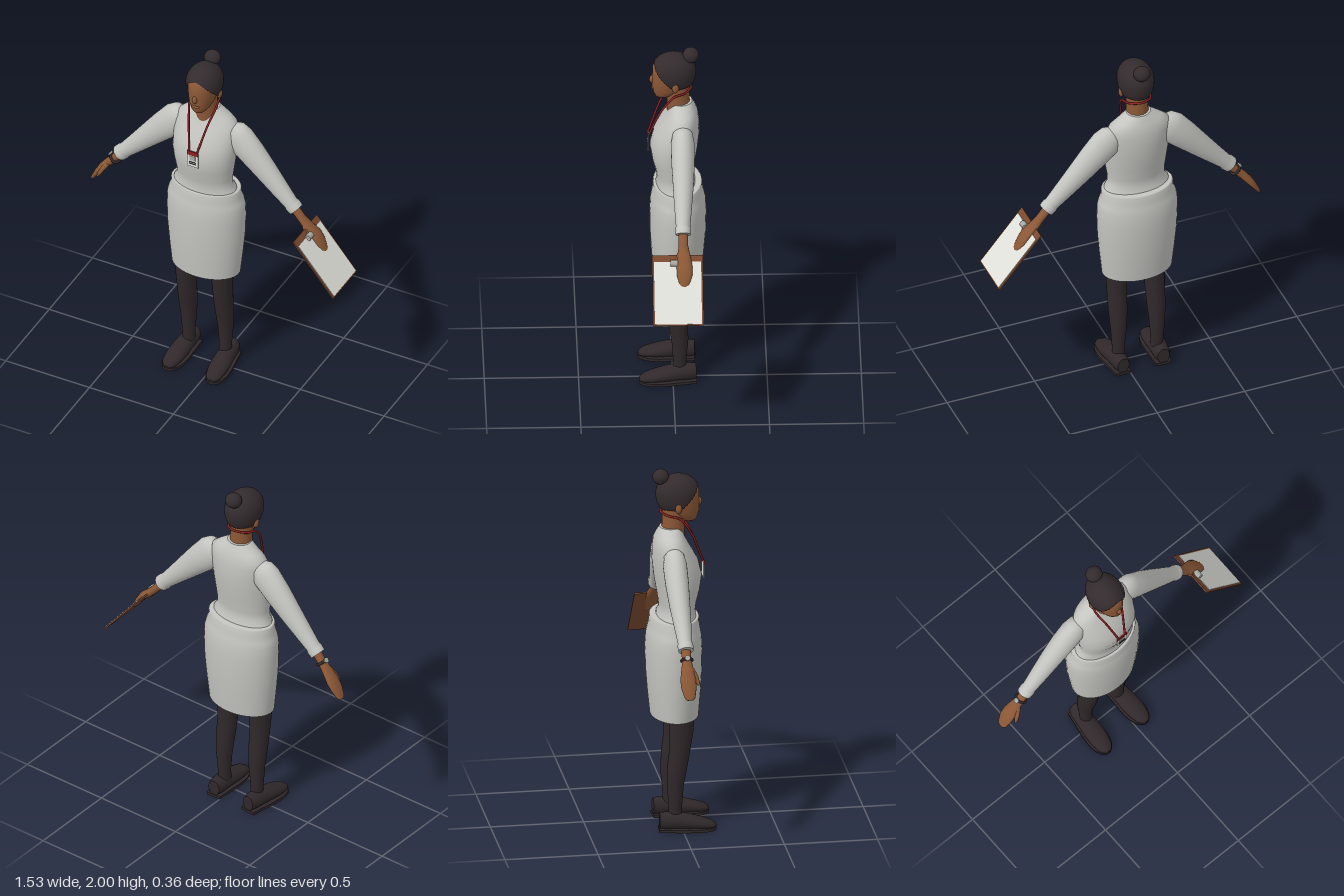
import * as THREE from 'three';

const mat = (name, color, double) => {
  const m = new THREE.MeshStandardMaterial({ color });
  m.name = name;
  if (double) m.side = THREE.DoubleSide;
  return m;
};

// Skin over elliptical rings [x, y, z, radius across, radius in z]; rings follow the path in x/y
function loft(rings, caps = true, n = 28) {
  const pos = [], idx = [], last = rings.length - 1;
  const addRing = (i) => {
    const a = rings[Math.max(i - 1, 0)], b = rings[Math.min(i + 1, last)];
    const w = new THREE.Vector2(b[0] - a[0], b[1] - a[1]).normalize();
    const [x, y, z, r, rz] = rings[i], start = pos.length / 3;
    for (let j = 0; j < n; j++) {
      const t = (j / n) * Math.PI * 2, c = Math.cos(t) * r;
      pos.push(x + w.y * c, y - w.x * c, z + Math.sin(t) * rz);
    }
    return start;
  };
  rings.forEach((_, i) => addRing(i));
  for (let i = 0; i < last; i++) {
    for (let j = 0; j < n; j++) {
      const a = i * n + j, b = i * n + (j + 1) % n, c = a + n, d = b + n;
      idx.push(a, c, b, b, c, d);
    }
  }
  if (caps) {
    for (const i of [0, last]) {
      const s = addRing(i), c = pos.length / 3;
      pos.push(...rings[i].slice(0, 3));
      for (let j = 0; j < n; j++) {
        const a = s + j, b = s + (j + 1) % n;
        i ? idx.push(c, b, a) : idx.push(c, a, b);
      }
    }
  }
  const g = new THREE.BufferGeometry();
  g.setAttribute('position', new THREE.Float32BufferAttribute(pos, 3));
  g.setIndex(idx);
  g.computeVertexNormals();
  return g;
}

// Upright ring from height, half width, front z and back z
const ring = ([y, w, f, b]) => [0, y, (f + b) / 2, w, (f - b) / 2];

// Hair shell: rounded dome whose lower edge follows the hairline
function hairGeometry() {
  const g = new THREE.SphereGeometry(1, 48, 24), p = g.attributes.position, uv = g.attributes.uv;
  for (let i = 0; i < p.count; i++) {
    const phi = uv.getX(i) * Math.PI * 2, c = Math.cos(phi);
    const end = 1.05 + 1.4 * Math.pow(1 - Math.max(c, 0), 0.9);
    const a = (1 - uv.getY(i)) * end;
    const s = a < Math.PI / 2 ? Math.sin(a) : Math.sqrt(Math.sin(a));
    p.setXYZ(i, Math.sin(phi) * s * 0.097, 1.865 + Math.cos(a) * 0.106, -0.006 + c * s * 0.119);
  }
  g.computeVertexNormals();
  return g;
}

export function createModel() {
  const cloth = mat('light grey cloth', 0xc4c4c0, true);
  const skin = mat('brown skin', 0x8c5836);
  const hair = mat('dark hair', 0x332b2d, true);
  const dark = mat('dark stockings and shoes', 0x30282a);
  const red = mat('red ribbon', 0x8c2022);
  const white = mat('white paper', 0xe2e2dc);
  const wood = mat('brown board', 0x7c4a30);
  const metal = mat('pale metal', 0xa8a8a4);

  const model = new THREE.Group();
  const person = new THREE.Group();
  person.name = 'person';
  person.position.x = -0.075;
  model.add(person);
  const add = (name, geo, material, parent = person) => {
    const m = new THREE.Mesh(geo, material);
    m.name = name;
    parent.add(m);
    return m;
  };
  const ball = (name, material, x, y, z, rx, ry, rz) => {
    const m = add(name, new THREE.SphereGeometry(1, 24, 16), material);
    m.position.set(x, y, z);
    m.scale.set(rx, ry, rz);
    return m;
  };

  // Clothes
  add('blouse', loft([
    [1.16, 0.185, 0.09, -0.125], [1.19, 0.178, 0.088, -0.12], [1.215, 0.16, 0.084, -0.107],
    [1.26, 0.16, 0.09, -0.11], [1.33, 0.17, 0.108, -0.122], [1.41, 0.18, 0.12, -0.135],
    [1.49, 0.182, 0.1, -0.143], [1.56, 0.18, 0.062, -0.142], [1.605, 0.168, 0.037, -0.135],
    [1.635, 0.13, 0.023, -0.125], [1.665, 0.085, 0.015, -0.112], [1.68, 0.066, 0.012, -0.105],
  ].map(ring), true, 40), cloth);
  add('skirt', loft([
    [0.625, 0.195, 0.103, -0.155], [0.75, 0.208, 0.113, -0.168], [0.88, 0.22, 0.12, -0.178],
    [1.0, 0.224, 0.122, -0.181], [1.07, 0.222, 0.118, -0.176], [1.105, 0.214, 0.112, -0.168],
    [1.14, 0.2, 0.106, -0.16], [1.178, 0.199, 0.104, -0.157], [1.182, 0.19, 0.098, -0.15],
    [1.183, 0.15, 0.06, -0.1],
  ].map(ring), false, 40), cloth);

  // Head
  add('neck', loft([[1.62, 0.064, 0.03, -0.1], [1.7, 0.058, 0.03, -0.09],
    [1.8, 0.06, 0.04, -0.09]].map(ring)), skin);
  add('face', loft([
    [1.706, 0.018, 0.078, 0.03], [1.715, 0.034, 0.09, 0.01], [1.735, 0.05, 0.1, -0.03],
    [1.765, 0.064, 0.107, -0.07], [1.81, 0.075, 0.109, -0.1], [1.85, 0.08, 0.107, -0.105],
    [1.89, 0.082, 0.106, -0.1], [1.925, 0.07, 0.085, -0.08], [1.95, 0.04, 0.05, -0.05],
  ].map(ring), true, 36), skin);
  ball('nose', skin, 0, 1.812, 0.106, 0.014, 0.024, 0.017);
  ball('lips', skin, 0, 1.765, 0.1, 0.024, 0.01, 0.012);
  add('hair', hairGeometry(), hair);
  ball('hairBun', hair, 0, 1.959, -0.098, 0.046, 0.042, 0.044);

  // Mirrored limbs
  for (const s of [-1, 1]) {
    const mirror = (rows) => rows.map(([x, ...r]) => [s * x, ...r]);
    const side = s > 0 ? 'left' : 'right';
    ball(side + 'Ear', skin, s * 0.086, 1.805, -0.014, 0.014, 0.03, 0.018);

    add(side + 'Sleeve', loft(mirror([
      [0.135, 1.585, -0.05, 0.035, 0.03], [0.15, 1.565, -0.05, 0.072, 0.052],
      [0.185, 1.52, -0.05, 0.09, 0.063], [0.26, 1.445, -0.05, 0.08, 0.062],
      [0.345, 1.355, -0.049, 0.066, 0.055], [0.43, 1.265, -0.046, 0.052, 0.046],
      [0.495, 1.197, -0.044, 0.042, 0.038], [0.505, 1.187, -0.044, 0.046, 0.042],
      [0.527, 1.165, -0.044, 0.044, 0.04],
    ])), cloth);

    // Hand, the left one reaching a little further to hold the board
    const reach = s > 0 ? 0.016 : 0;
    add(side + 'Hand', loft(mirror([
      [0.505, 1.185, -0.044, 0.025, 0.026], [0.56, 1.118, -0.044, 0.022, 0.025],
      [0.595, 1.08, -0.046, 0.022, 0.034], [0.628 + reach, 1.038, -0.048, 0.021, 0.042],
      [0.655 + reach, 1.0, -0.048, 0.017, 0.041], [0.682 + reach, 0.955, -0.046, 0.011, 0.028],
      [0.688 + reach, 0.944, -0.046, 0.007, 0.018],
    ]), true, 16), skin);
    add(side + 'Thumb', loft(mirror([
      [0.585, 1.09, -0.028, 0.014, 0.016], [0.608, 1.055, -0.008, 0.013, 0.015],
      [0.626, 1.022, 0.004, 0.01, 0.011], [0.634, 1.006, 0.007, 0.004, 0.005],
    ]), true, 12), skin);

    add(side + 'Leg', loft(mirror([
      [0.108, 0.06, -0.035, 0.034, 0.036], [0.11, 0.14, -0.036, 0.035, 0.036],
      [0.11, 0.25, -0.037, 0.043, 0.045], [0.109, 0.36, -0.025, 0.051, 0.054],
      [0.108, 0.45, -0.012, 0.053, 0.056], [0.108, 0.55, -0.003, 0.055, 0.063],
      [0.108, 0.7, 0, 0.063, 0.072], [0.108, 0.85, -0.005, 0.07, 0.08],
    ])), dark);

    // Shoe with a flat sole, toes turned slightly outward
    const shoe = new THREE.Group();
    shoe.name = side + 'Shoe';
    shoe.position.x = s * 0.122;
    shoe.rotation.y = s * 0.06;
    person.add(shoe);
    const upper = loft([
      [0, -0.122, -0.056, 0.034, 0.044], [0, -0.09, -0.056, 0.045, 0.047],
      [0, -0.02, -0.055, 0.049, 0.046], [0, 0.04, -0.047, 0.054, 0.04],
      [0, 0.1, -0.038, 0.052, 0.031], [0, 0.15, -0.029, 0.041, 0.023],
      [0, 0.172, -0.024, 0.025, 0.014], [0, 0.18, -0.022, 0.01, 0.006],
    ]);
    upper.rotateX(Math.PI / 2);
    add(side + 'ShoeUpper', upper, dark, shoe);
    const outline = new THREE.Shape();
    outline.moveTo(-0.042, -0.125);
    outline.lineTo(0.042, -0.125);
    outline.bezierCurveTo(0.05, -0.04, 0.06, 0.02, 0.06, 0.08);
    outline.bezierCurveTo(0.058, 0.14, 0.035, 0.182, 0, 0.182);
    outline.bezierCurveTo(-0.035, 0.182, -0.058, 0.14, -0.06, 0.08);
    outline.bezierCurveTo(-0.06, 0.02, -0.05, -0.04, -0.042, -0.125);
    const sole = new THREE.ExtrudeGeometry(outline, { depth: 0.016, bevelEnabled: false });
    sole.rotateX(Math.PI / 2);
    sole.translate(0, 0.016, 0);
    add(side + 'ShoeSole', sole, dark, shoe);
  }

  // Wrist watch
  const watch = new THREE.Group();
  watch.name = 'watch';
  watch.position.set(-0.555, 1.122, -0.044);
  watch.rotation.z = -0.7;
  person.add(watch);
  const strap = add('watchStrap', new THREE.TorusGeometry(0.028, 0.008, 10, 24), dark, watch);
  strap.rotation.x = Math.PI / 2;
  const dial = add('watchDial', new THREE.CylinderGeometry(0.015, 0.015, 0.008, 20), metal, watch);
  dial.position.x = -0.036;
  dial.rotation.z = Math.PI / 2;

  // Neck ribbon and name badge
  const half = [[0.024, 1.48, 0.126], [0.058, 1.64, 0.064], [0.076, 1.71, 0.022],
    [0.078, 1.745, -0.01], [0.062, 1.757, -0.065]];
  const path = [...half, [0, 1.765, -0.1], ...half.map(([x, y, z]) => [-x, y, z]).reverse()];
  const curve = new THREE.CatmullRomCurve3(path.map((p) => new THREE.Vector3(...p)));
  add('ribbon', new THREE.TubeGeometry(curve, 80, 0.006, 8), red);
  const plate = (name, material, w, h, y, z, x = 0) =>
    add(name, new THREE.BoxGeometry(w, h, 0.006), material).position.set(x, y, z);
  plate('badgeCard', white, 0.066, 0.1, 1.432, 0.13);
  plate('badgeHeader', red, 0.066, 0.026, 1.47, 0.132);
  plate('badgePhoto', metal, 0.034, 0.026, 1.438, 0.132);
  for (const y of [1.412, 1.401]) plate('badgeLine', dark, 0.042, 0.005, y, 0.132);

  // Clipboard: local y runs up the board, local x points outward
  const board = new THREE.Group();
  board.name = 'clipboard';
  board.position.set(0.715, 0.934, -0.011);
  board.rotation.z = Math.atan2(0.24, 0.293);
  person.add(board);
  add('boardPanel', new THREE.BoxGeometry(0.008, 0.378, 0.27), wood, board);
  add('boardPaper', new THREE.BoxGeometry(0.004, 0.335, 0.25), white, board).position.set(0.005, -0.014, 0);
  const clip = add('boardClip', new THREE.CylinderGeometry(0.017, 0.017, 0.04, 16), metal, board);
  clip.position.set(0.012, 0.145, 0.018);
  clip.rotation.x = Math.PI / 2;

  return model;
}
